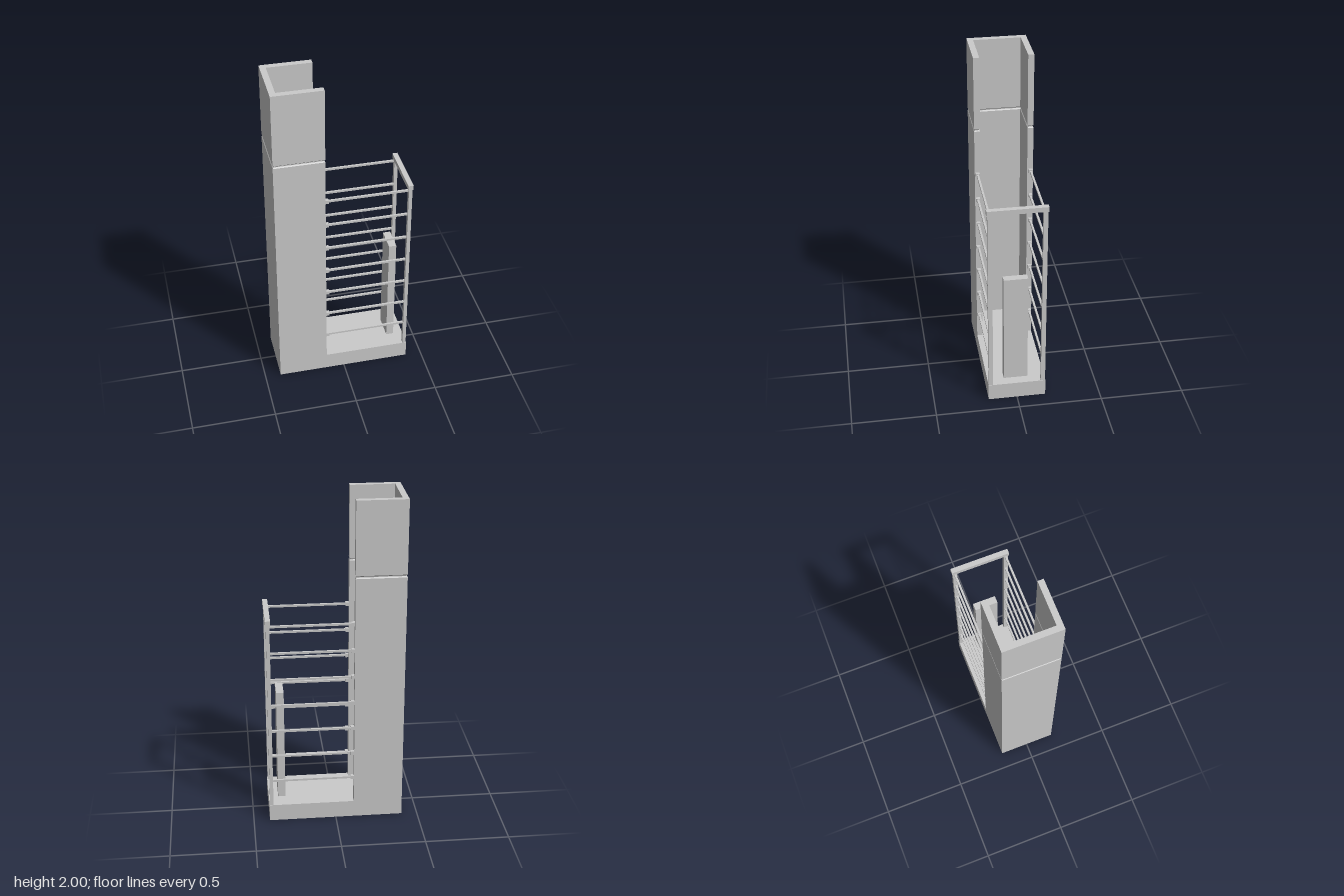
import * as THREE from 'three';

const material = new THREE.MeshStandardMaterial({ color: 0xcccccc });

export function createModel() {
  const model = new THREE.Group();

  const add = (name, geometry) => {
    const mesh = new THREE.Mesh(geometry, material);
    mesh.name = name;
    model.add(mesh);
    return mesh;
  };
  // Box given by its minimum and maximum on each axis
  const box = (name, [x0, x1], [y0, y1], [z0, z1]) =>
    add(name, new THREE.BoxGeometry(x1 - x0, y1 - y0, z1 - z0))
      .position.set((x0 + x1) / 2, (y0 + y1) / 2, (z0 + z1) / 2);
  const polygon = (points) => points.map(([x, y]) => new THREE.Vector2(x, y));
  const rect = (x0, x1, z) => polygon([[x0, -z], [x1, -z], [x1, z], [x0, z]]);

  const baseTop = 0.105, left = -0.405, right = 0.403, depth = 0.173;

  // Base: open-bottomed tray with a rim, a deck and two runners underneath
  const rim = new THREE.Shape(rect(left, right, depth));
  rim.holes.push(new THREE.Path(rect(left + 0.03, right - 0.03, depth - 0.03)));
  const rimGeometry = new THREE.ExtrudeGeometry(rim, { depth: 0.085, bevelEnabled: false });
  add('baseRim', rimGeometry.rotateX(-Math.PI / 2));
  box('baseDeck', [left, right], [0.085, baseTop], [-depth, depth]);

  // Shaft: U-shaped wall, pinched at a few levels to form the seam groove
  const wall = new THREE.Shape(polygon([
    [left, -depth], [-0.11, -depth], [-0.11, -0.138], [-0.37, -0.138],
    [-0.37, 0.138], [-0.11, 0.138], [-0.11, depth], [left, depth],
  ]));
  const levels = [[baseTop, 0], [1.545, 0], [1.551, 0.006], [1.556, 0.006], [1.562, 0], [2, 0]];
  const steps = levels.length - 1;
  const shaft = new THREE.ExtrudeGeometry(wall, { depth: steps, steps, bevelEnabled: false });
  const p = shaft.attributes.position;
  for (let i = 0; i < p.count; i++) {
    const [y, inset] = levels[Math.round(p.getZ(i))];
    const x = p.getX(i), z = p.getY(i);
    const newX = x + (x < -0.39 ? inset : -inset);
    const newZ = z + Math.sign(z) * (Math.abs(z) > 0.16 ? -inset : inset);
    p.setXYZ(i, newX, y, -newZ);
  }
  shaft.computeVertexNormals();
  add('shaftWall', shaft);

  // Railings on both sides: post, seven rails with sockets, and a runner below
  for (const side of [-1, 1]) {
    const label = side > 0 ? 'front' : 'back';
    const span = (centre, width) => [side * centre - width / 2, side * centre + width / 2];
    box(label + 'Post', [0.379, 0.4], [baseTop, 1.28], span(0.158, 0.026));
    for (let i = 0; i < 7; i++) {
      const y = 0.267 + i * 0.167;
      box(label + 'Rail', [-0.1, 0.38], [y - 0.006, y + 0.006], span(0.157, 0.012));
      box(label + 'RailSocket', [-0.112, -0.09], [y - 0.011, y + 0.011], span(0.157, 0.023));
    }
    box(label + 'Runner', [left + 0.03, right - 0.03], [0.035, 0.085], span(0.06, 0.035));
  }

  // Crossbar joining the posts, and the standing panel on the deck
  box('crossbar', [0.374, 0.404], [1.28, 1.31], [-0.176, 0.176]);
  box('standingPanel', [0.3, 0.345], [baseTop, 0.81], [-0.072, 0.072]);

  return model;
}
